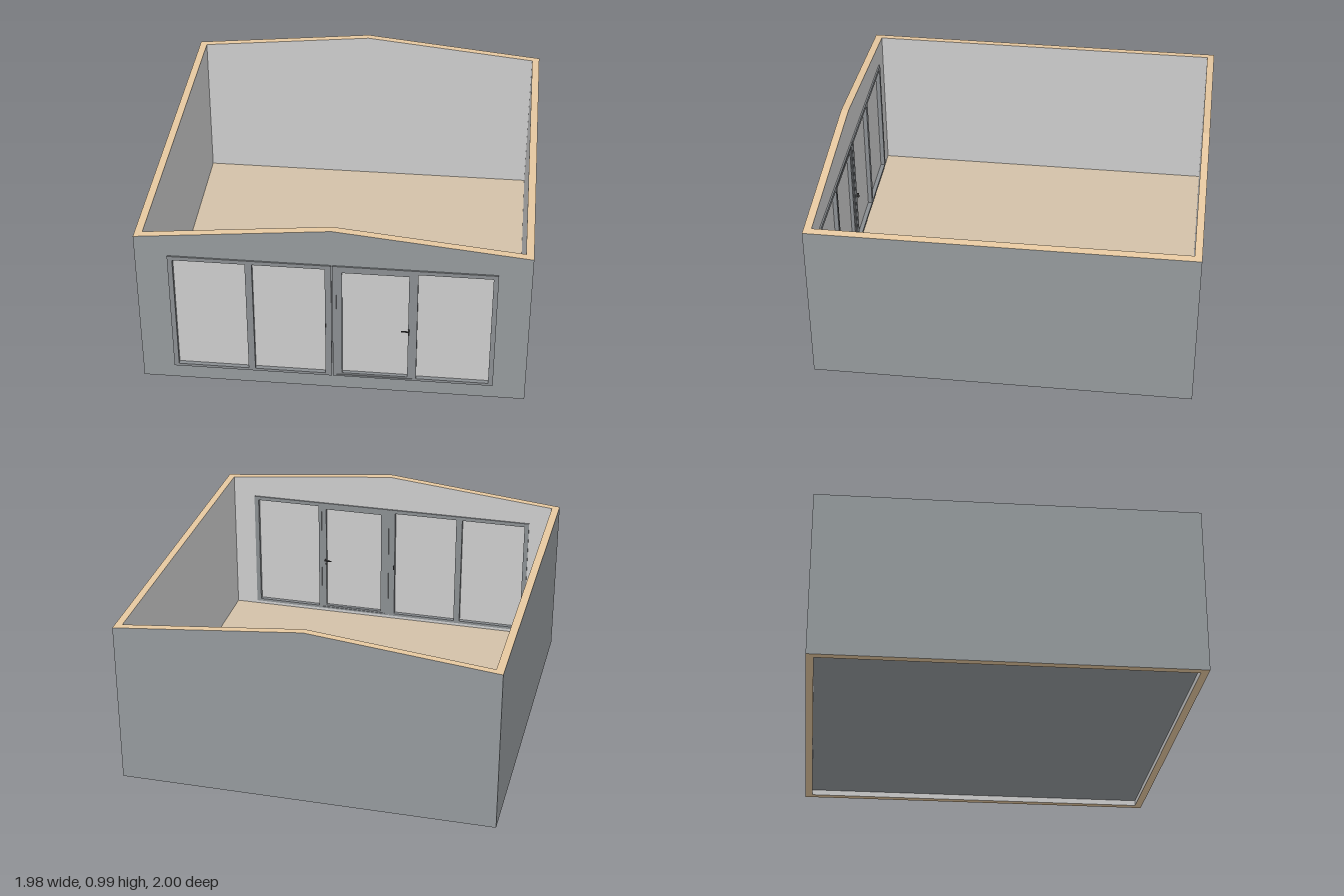
import * as THREE from 'three';

const mat = (color, side = THREE.FrontSide) => new THREE.MeshStandardMaterial({ color, side });
const cladding = mat(0x94999c), lining = mat(0xcccccc), timber = mat(0xe6c8a0);
const boards = mat(0xd3c1a8), frameMat = mat(0x8a8e91), glassMat = mat(0xcccccc), metal = mat(0x3c3c3c);

// Plan of the wall: outer and inner faces
const OUT = { w: 0.99, f: 0.977, b: -1 };
const IN = { w: 0.95, f: 0.937, b: -0.962 };
const OPEN = { w: 0.825, y0: 0.08, y1: 0.78 };
const topY = x => 0.985 - 0.1 * Math.abs(x) / OUT.w;

function add(group, name, geometry, material) {
  const mesh = new THREE.Mesh(geometry, material);
  mesh.name = name;
  group.add(mesh);
  return mesh;
}

function box(group, name, x0, x1, y0, y1, z0, z1, material) {
  const mesh = add(group, name, new THREE.BoxGeometry(x1 - x0, y1 - y0, z1 - z0), material);
  mesh.position.set((x0 + x1) / 2, (y0 + y1) / 2, (z0 + z1) / 2);
  return mesh;
}

function rect(Type, x0, x1, y0, y1) {
  return new Type([[x0, y0], [x1, y0], [x1, y1], [x0, y1]].map(p => new THREE.Vector2(...p)));
}

// One gable face, optionally with the opening for the doors
function gable(group, name, w, z, front, open, material) {
  const shape = new THREE.Shape();
  shape.moveTo(-w, 0).lineTo(w, 0).lineTo(w, topY(w)).lineTo(0, topY(0)).lineTo(-w, topY(w));
  shape.closePath();
  if (open) shape.holes.push(rect(THREE.Path, -OPEN.w, OPEN.w, OPEN.y0, OPEN.y1));
  const geo = new THREE.ShapeGeometry(shape);
  if (!front) geo.rotateY(Math.PI);
  geo.translate(0, 0, z);
  add(group, name, geo, material);
}

// One long wall face; dir is the way it looks along x
function sideFace(group, name, x, dir, p, material) {
  const h = topY(x);
  const geo = new THREE.PlaneGeometry(p.f - p.b, h);
  geo.rotateY(dir * Math.PI / 2);
  geo.translate(x, h / 2, (p.f + p.b) / 2);
  add(group, name, geo, material);
}

// Band between the outer and inner wall faces, following height(x)
function rim(group, name, height, up) {
  const loop = p => [[-p.w, p.f], [0, p.f], [p.w, p.f], [p.w, p.b], [0, p.b], [-p.w, p.b]]
    .map(([x, z]) => [x, height(x), z]);
  const a = loop(OUT), b = loop(IN), pos = [];
  for (let i = 0; i < a.length; i++) {
    const j = (i + 1) % a.length;
    const q = up ? [a[i], a[j], b[j], b[i]] : [a[i], b[i], b[j], a[j]];
    for (const k of [0, 1, 2, 0, 2, 3]) pos.push(...q[k]);
  }
  const geo = new THREE.BufferGeometry();
  geo.setAttribute('position', new THREE.Float32BufferAttribute(pos, 3));
  geo.computeVertexNormals();
  add(group, name, geo, timber);
}

// Flat bar frame with rectangular holes, from z0 to z1
function frame(group, name, r, holes, z0, z1) {
  const shape = rect(THREE.Shape, ...r);
  for (const h of holes) shape.holes.push(rect(THREE.Path, ...h));
  const geo = new THREE.ExtrudeGeometry(shape, { depth: z1 - z0, bevelEnabled: false });
  geo.translate(0, 0, z0);
  add(group, name, geo, frameMat);
}

export function createModel() {
  const model = new THREE.Group();
  model.name = 'gardenRoom';

  // Walls
  const walls = new THREE.Group();
  walls.name = 'walls';
  model.add(walls);
  gable(walls, 'frontCladding', OUT.w, OUT.f, true, true, cladding);
  gable(walls, 'backCladding', OUT.w, OUT.b, false, false, cladding);
  gable(walls, 'frontLining', IN.w, IN.f, false, true, lining);
  gable(walls, 'backLining', IN.w, IN.b, true, false, lining);
  for (const s of [-1, 1]) {
    sideFace(walls, 'sideCladding', s * OUT.w, s, OUT, cladding);
    sideFace(walls, 'sideLining', s * IN.w, -s, IN, lining);
  }
  rim(walls, 'wallTop', topY, true);
  rim(walls, 'wallBase', () => 0, false);

  // Floor: boards on top, dark slab below
  const floor = box(model, 'floor', -IN.w, IN.w, 0.03, 0.06, IN.b, IN.f, null);
  floor.material = [cladding, cladding, boards, cladding, cladding, cladding];

  // Window and door frames
  const glazing = new THREE.Group();
  glazing.name = 'glazing';
  model.add(glazing);
  const Z0 = 0.929, Z1 = 0.985;
  const windows = [[-0.8, -0.435, 0.095, 0.758], [-0.4, -0.035, 0.095, 0.758], [0.43, 0.8, 0.095, 0.758]];
  const doorway = [0.022, 0.412, 0.09, 0.765];
  const doorPane = [0.05, 0.385, 0.1, 0.74];
  frame(glazing, 'leftUnitFrame', [0.003, OPEN.w, OPEN.y0, OPEN.y1], [doorway, windows[2]], Z0, Z1);
  frame(glazing, 'rightUnitFrame', [-OPEN.w, -0.003, OPEN.y0, OPEN.y1], windows.slice(0, 2), Z0, Z1);
  box(glazing, 'centreJoint', -0.003, 0.003, OPEN.y0, OPEN.y1, IN.f, OUT.f, frameMat);
  frame(glazing, 'doorSash', doorway, [doorPane], Z0 + 0.004, Z1 - 0.004);
  for (const [x0, x1, y0, y1] of [...windows, doorPane])
    box(glazing, 'glassPane', x0, x1, y0, y1, 0.952, 0.962, glassMat);

  // Door handles on both faces, with lock plates
  const handles = new THREE.Group();
  handles.name = 'handles';
  model.add(handles);
  for (const [face, dir] of [[Z1 - 0.004, 1], [Z0 + 0.004, -1]]) {
    const span = (a, b) => [face + dir * a, face + dir * b].sort((p, q) => p - q);
    box(handles, 'handleStem', 0.385, 0.393, 0.403, 0.411, ...span(0, 0.019), metal);
    box(handles, 'handleLever', 0.35, 0.393, 0.404, 0.41, ...span(0.014, 0.019), metal);
    box(handles, 'lockPlate', 0.386, 0.392, 0.372, 0.384, ...span(0, 0.003), metal);
  }

  // Window catch
  box(handles, 'windowCatch', -0.035, -0.028, 0.395, 0.42, Z0 - 0.012, Z0, metal);
  box(handles, 'catchPlate', -0.035, -0.028, 0.395, 0.42, Z1, Z1 + 0.003, metal);

  return model;
}
